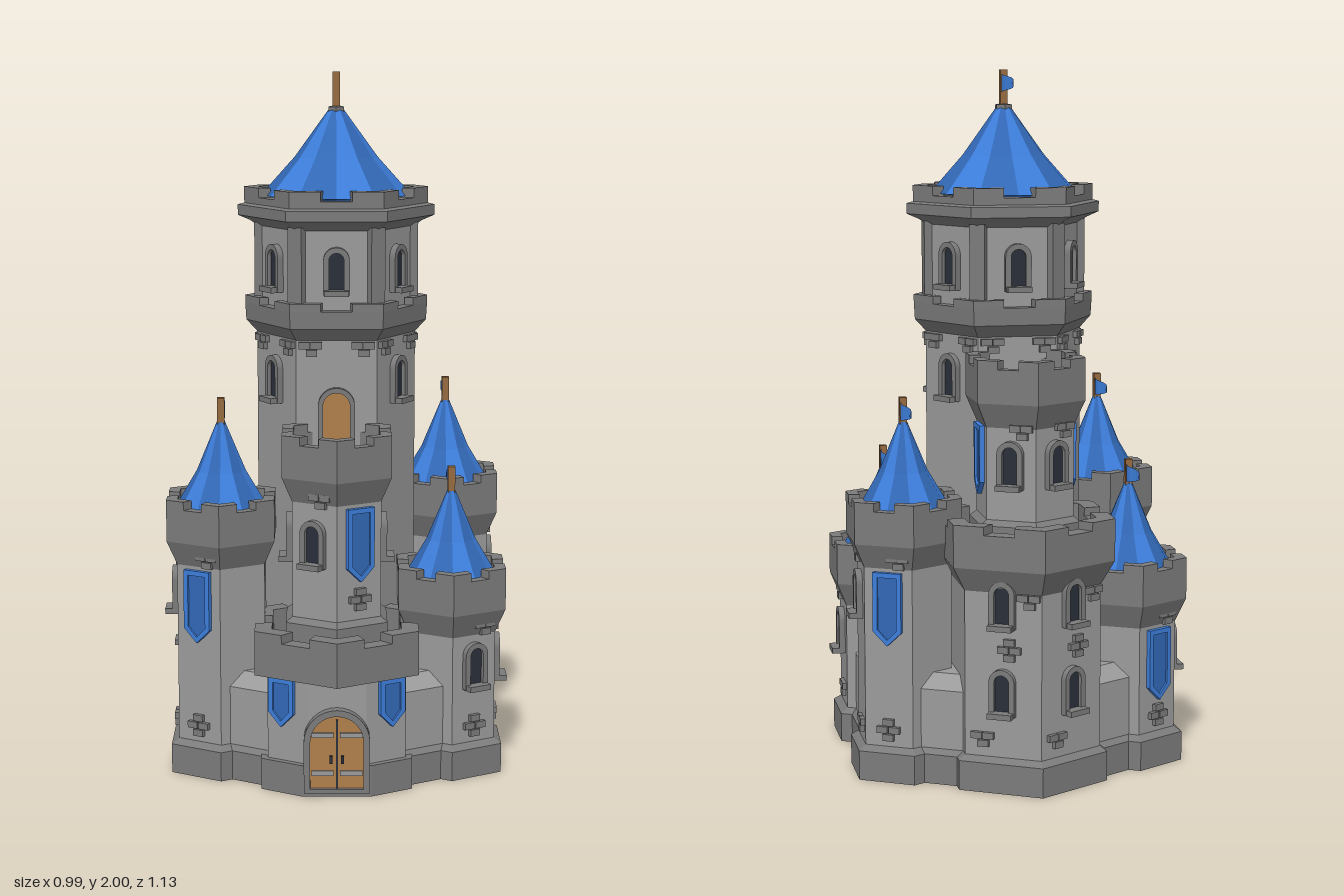
import * as THREE from 'three';

const mat = (color) => new THREE.MeshStandardMaterial({ color, flatShading: true, side: THREE.DoubleSide });
const STONE = mat(0x9b9b9b), TRIM = mat(0x7b7b7b), DARK = mat(0x2a2f3a);
const BLUE = mat(0x3d7edb), NAVY = mat(0x3268b6), WOOD = mat(0xb07f4c), WOOD2 = mat(0x966a40);
const deg = Math.PI / 180;

function add(parent, name, geo, material, x = 0, y = 0, z = 0) {
  const m = new THREE.Mesh(geo, material);
  m.name = name;
  m.position.set(x, y, z);
  parent.add(m);
  return m;
}
const box = (w, h, d) => new THREE.BoxGeometry(w, h, d);
const lathe = (pts, sides = 6, turn = 0, arc = 2 * Math.PI) =>
  new THREE.LatheGeometry(pts.map(([r, y]) => new THREE.Vector2(r, y)), sides, turn, arc);
const extrude = (shape, depth) =>
  new THREE.ExtrudeGeometry(shape, { depth, bevelEnabled: false, curveSegments: 8 });
const polygon = (pts) => new THREE.Shape(pts.map(([x, y]) => new THREE.Vector2(x, y)));

// Group on a tower face: local +z points outward at angle a (0 = +x, 90 = +z)
function onFace(parent, cx, cz, a, apothem, y) {
  const g = new THREE.Group();
  g.position.set(cx + apothem * Math.cos(a * deg), y, cz + apothem * Math.sin(a * deg));
  g.rotation.y = (90 - a) * deg;
  parent.add(g);
  return g;
}

function arch(w, h, y0 = 0, Type = THREE.Shape) {
  const s = new Type();
  s.moveTo(-w / 2, y0);
  s.lineTo(w / 2, y0);
  s.lineTo(w / 2, h - w / 2);
  s.absarc(0, h - w / 2, w / 2, 0, Math.PI, false);
  s.lineTo(-w / 2, y0);
  return s;
}

// Arched opening with a frame, used for windows and doors
function archway(g, name, w, h, rim, depth, fillMat) {
  g.name = name;
  const frame = arch(w, h);
  frame.holes.push(arch(w - 2 * rim, h - rim, rim * 0.6, THREE.Path));
  add(g, name + 'Frame', extrude(frame, depth + 0.01), TRIM, 0, 0, -0.01);
  add(g, name + 'Panel', extrude(arch(w - rim, h - rim / 2), depth * 0.4 + 0.01), fillMat, 0, 0, -0.01);
}

function windowAt(parent, cx, cz, a, ap, y) {
  const g = onFace(parent, cx, cz, a, ap, y);
  archway(g, 'window', 0.075, 0.135, 0.016, 0.018, DARK);
  add(g, 'sill', box(0.07, 0.016, 0.05), TRIM, 0, 0.006, 0.014);
}

function bannerAt(parent, cx, cz, a, ap, y, h = 0.21, w = 0.085, dx = 0) {
  const g = onFace(parent, cx, cz, a, ap, y);
  g.name = 'banner';
  const form = (i) => polygon([[-w / 2 + i, h - i], [-w / 2 + i, 0.04 + i * 0.4], [0, i * 1.2],
    [w / 2 - i, 0.04 + i * 0.4], [w / 2 - i, h - i]]);
  const border = form(0);
  border.holes.push(form(0.014));
  add(g, 'bannerBorder', extrude(border, 0.014), BLUE, dx);
  add(g, 'bannerCloth', extrude(form(0.012), 0.008), NAVY, dx);
}

// Small cluster of raised stones
function bricksAt(parent, cx, cz, a, ap, y, dx = 0, cross = false) {
  const g = onFace(parent, cx, cz, a, ap, y);
  g.name = 'raisedStones';
  const rows = cross ? [[0, 0.022], [-0.018, 0], [0.018, 0], [0, -0.022]] : [[-0.016, 0.011], [0.018, 0.011], [0.004, -0.011]];
  for (const [x, dy] of rows) add(g, 'stone', box(0.032, 0.019, 0.02), TRIM, x + dx, dy, 0.003);
}

// Corner merlons wrapping the six corners of a parapet
function merlons(parent, cx, cz, R, r, y, h, turn = 0) {
  for (let k = 0; k < 6; k++) {
    const p = (rad, i) => new THREE.Vector2(rad * Math.sin(i * 60 * deg + turn), rad * Math.cos(i * 60 * deg + turn));
    const mid = (rad, i) => p(rad, k).lerp(p(rad, i), 0.33);
    const s = new THREE.Shape([mid(R, k - 1), p(R, k), mid(R, k + 1), mid(r, k + 1), p(r, k), mid(r, k - 1)]);
    add(parent, 'merlon', extrude(s, h).rotateX(-Math.PI / 2), TRIM, cx, y, cz);
  }
}

// Hexagonal shaft with plinth, flared parapet and merlons
function tower(parent, name, cx, cz, y0, top, R, Rp, Ri, plinth) {
  const g = new THREE.Group();
  g.name = name;
  parent.add(g);
  const rim = top - 0.024, floor = top - 0.07;
  add(g, 'plinth', lathe([[0, y0], [plinth, y0], [plinth, y0 + 0.085], [R, y0 + 0.1]]), TRIM, cx, 0, cz);
  add(g, 'towerWall', lathe([[R, y0 + 0.1], [R, top - 0.19]]), STONE, cx, 0, cz);
  add(g, 'parapet', lathe([[R, top - 0.19], [Rp, top - 0.12], [Rp, rim], [Ri, rim], [Ri, floor]]), TRIM, cx, 0, cz);
  add(g, 'towerFloor', lathe([[Ri, floor], [0, floor]]), STONE, cx, 0, cz);
  merlons(g, cx, cz, Rp, Ri, rim, 0.024);
  return g;
}

// Twelve-panel roof in two alternating blues
function roof(parent, cx, cz, profile) {
  for (let k = 0; k < 12; k++)
    add(parent, 'roofPanel', lathe(profile, 1, k * 30 * deg, 30 * deg), k % 2 ? NAVY : BLUE, cx, 0, cz);
}

// Hexagonal timber floor made of planks in two tones
function deck(parent, R, y, cz) {
  const half = (z) => Math.min(0.866 * R, (R - Math.abs(z)) * 1.732);
  for (let k = 0; k < 8; k++) {
    const a = (k / 4 - 1) * R, b = a + R / 4;
    const plank = polygon([[-half(a), a], [half(a), a], [half(b), b], [-half(b), b]]);
    add(parent, 'deckPlank', new THREE.ShapeGeometry(plank).rotateX(-Math.PI / 2), k % 2 ? WOOD : WOOD2, 0, y, cz);
  }
}

// Pole with a waving pennant that trails to -z
function flag(parent, cx, cz, y, h, len) {
  add(parent, 'flagPole', box(0.021, h + 0.03, 0.021), WOOD2, cx, y + h / 2 - 0.015, cz);
  const geo = new THREE.PlaneGeometry(1, 1, 10, 1);
  const p = geo.attributes.position;
  for (let i = 0; i < p.count; i++) {
    const t = p.getX(i) + 0.5;
    p.setXYZ(i, 0.011 * Math.sin(t * 2 * Math.PI), p.getY(i) * 0.052 * (1 - t * t), -t * len);
  }
  add(parent, 'pennant', geo, BLUE, cx, y + h - 0.038, cz);
}

export function createModel() {
  const castle = new THREE.Group();
  castle.name = 'castle';

  // Central keep, flat sides to front and back
  const keep = new THREE.Group();
  keep.name = 'keep';
  castle.add(keep);
  const turn = Math.PI / 2;
  add(keep, 'keepWall', lathe([[0, 0], [0.23, 0], [0.23, 1.25]], 6, turn), STONE);
  add(keep, 'keepBand', lathe([[0.23, 1.25], [0.262, 1.285], [0.265, 1.335], [0.227, 1.335]], 6, turn), TRIM);
  add(keep, 'keepUpperWall', lathe([[0.227, 1.335], [0.227, 1.56]], 6, turn), STONE);
  add(keep, 'keepParapet', lathe([[0.227, 1.56], [0.25, 1.575], [0.285, 1.59], [0.285, 1.62], [0.266, 1.625],
    [0.266, 1.645], [0.225, 1.645], [0.225, 1.6], [0, 1.6]], 6, turn), TRIM);
  merlons(keep, 0, 0, 0.265, 0.235, 1.335, 0.022, turn);
  merlons(keep, 0, 0, 0.266, 0.225, 1.645, 0.027, turn);
  for (let k = 0; k < 6; k++) {
    const a = k * 60;
    const post = onFace(keep, 0, 0, a, 0.222, 1.45);
    add(post, 'cornerPost', box(0.045, 0.24, 0.03), TRIM);
    windowAt(keep, 0, 0, a + 30, 0.197, 1.38);
    if (k % 3 !== 1) windowAt(keep, 0, 0, a + 30, 0.199, 1.06);
    for (const dx of [0.075, -0.075]) bricksAt(keep, 0, 0, a + 30, 0.199, 1.225, dx);
  }
  roof(keep, 0, 0, [[0, 1.62], [0.216, 1.65], [0.12, 1.757], [0.02, 1.895], [0, 1.895]]);
  add(keep, 'roofCap', lathe([[0, 1.88], [0.026, 1.88], [0.026, 1.9], [0, 1.905]]), TRIM);
  flag(keep, 0, 0, 1.9, 0.1, 0.118);
  archway(onFace(keep, 0, 0, 90, 0.2, 0.94), 'deckDoor', 0.105, 0.175, 0.014, 0.016, WOOD);

  // Four corner towers, tall and low on opposite diagonals
  for (const sx of [1, -1]) for (const sz of [1, -1]) {
    const cx = 0.33 * sx, cz = 0.192 * sz, tall = sx * sz < 0, H = tall ? 0.805 : 0.605;
    const g = tower(castle, 'cornerTower', cx, cz, 0, H, 0.144, 0.177, 0.14, 0.168);
    roof(g, cx, cz, [[0, H - 0.05], [0.138, H - 0.045], [0.07, H + 0.07], [0.012, H + 0.21], [0, H + 0.21]]);
    flag(g, cx, cz, H + 0.2, 0.08, 0.108);
    const side = sx > 0 ? 0 : 180, slant = sz * (sx > 0 ? 60 : 120);
    windowAt(g, cx, cz, side, 0.1245, H - 0.345);
    if (sx > 0 && sz > 0) windowAt(g, cx, cz, slant, 0.1245, H - 0.345);
    else bannerAt(g, cx, cz, slant, 0.1245, H - 0.41);
    bricksAt(g, cx, cz, slant, 0.1245, 0.15, 0, true);
    bricksAt(g, cx, cz, side, 0.1245, 0.15, 0.025);
    bricksAt(g, cx, cz, side, 0.1245, H - 0.17, -0.03);
    bricksAt(g, cx, cz, slant, 0.1245, H - 0.17, 0.03);
  }

  // Curtain walls between the towers
  const wallSection = polygon([[0.15, 0.09], [0.43, 0.09], [0.43, 0.27], [0.39, 0.31], [0.15, 0.31]]);
  const footSection = polygon([[0.15, 0], [0.445, 0], [0.445, 0.085], [0.43, 0.1], [0.15, 0.1]]);
  for (let k = 0; k < 6; k++) {
    const side = new THREE.Group();
    side.name = 'curtainWall';
    side.rotation.y = -k * 60 * deg;
    castle.add(side);
    add(side, 'wall', extrude(wallSection, 0.24), STONE, 0, 0, -0.12);
    add(side, 'wallFoot', extrude(footSection, 0.24), TRIM, 0, 0, -0.12);
  }
  add(castle, 'courtyardBase', lathe([[0, 0], [0.42, 0], [0.42, 0.3]]), TRIM);
  add(castle, 'courtyardFloor', lathe([[0.42, 0.3], [0, 0.3]]), STONE);

  // Gatehouse: hexagon with its front corner cut flat for the gate
  const gate = new THREE.Group();
  gate.name = 'gatehouse';
  castle.add(gate);
  const gatePrism = (R, cut, h) => {
    const c = R * 0.866, e = (R - cut) * 1.732;
    return extrude(polygon([[-c, R / 2], [0, R], [c, R / 2], [c, -R / 2], [e, -cut], [-e, -cut], [-c, -R / 2]]), h).rotateX(-Math.PI / 2);
  };
  add(gate, 'gatehouseWall', gatePrism(0.225, 0.177, 0.35), STONE, 0, 0, 0.3);
  add(gate, 'gatehousePlinth', gatePrism(0.246, 0.19, 0.09), TRIM, 0, 0, 0.3);
  add(gate, 'balcony', lathe([[0, 0.335], [0.266, 0.335], [0.266, 0.437], [0.21, 0.437], [0.21, 0.39], [0, 0.39]]), TRIM, 0, 0, 0.298);
  deck(gate, 0.208, 0.394, 0.298);
  merlons(gate, 0, 0.298, 0.266, 0.21, 0.437, 0.025);
  const door = onFace(gate, 0, 0.3, 90, 0.182, 0.015);
  archway(door, 'gate', 0.185, 0.24, 0.018, 0.024, WOOD);
  add(door, 'gateSeam', box(0.005, 0.2, 0.004), DARK, 0, 0.11, 0.011);
  for (const s of [1, -1]) {
    for (const y of [0.055, 0.165]) add(door, 'hinge', box(0.062, 0.014, 0.008), STONE, s * 0.04, y, 0.012);
    add(door, 'gateHandle', box(0.008, 0.022, 0.012), DARK, s * 0.016, 0.095, 0.014);
    bannerAt(gate, 0, 0.3, 90 - s * 30, 0.195, 0.19, 0.14, 0.08, s * 0.062);
  }

  // Upper front tower with a timber deck
  const front = tower(castle, 'frontTower', 0, 0.3, 0.39, 1.01, 0.144, 0.177, 0.14, 0.165);
  deck(front, 0.139, 0.945, 0.3);
  bannerAt(front, 0, 0.3, 60, 0.1245, 0.6);
  for (const a of [0, 120, 180]) windowAt(front, 0, 0.3, a, 0.1245, 0.64);
  bricksAt(front, 0, 0.3, 60, 0.1245, 0.55, 0, true);
  bricksAt(front, 0, 0.3, 120, 0.1245, 0.83, 0.02);

  // Two-stage back tower
  const low = tower(castle, 'backLowerTower', 0, -0.3, 0, 0.76, 0.225, 0.266, 0.21, 0.247);
  const high = tower(castle, 'backUpperTower', 0, -0.3, 0.66, 1.21, 0.144, 0.177, 0.14, 0.165);
  for (const a of [240, 300]) {
    for (const y of [0.22, 0.47]) windowAt(low, 0, -0.3, a, 0.1945, y);
    bricksAt(low, 0, -0.3, a, 0.1945, 0.41, 0.02, true);
    bricksAt(low, 0, -0.3, a, 0.1945, 0.15, -0.06);
    bricksAt(low, 0, -0.3, a, 0.1945, 0.55, 0.075);
    windowAt(high, 0, -0.3, a, 0.1245, 0.85);
    bricksAt(high, 0, -0.3, a, 0.1245, 1.01, 0.03);
  }
  for (const a of [0, 180]) bannerAt(high, 0, -0.3, a, 0.1245, 0.82, 0.2);

  return castle;
}
